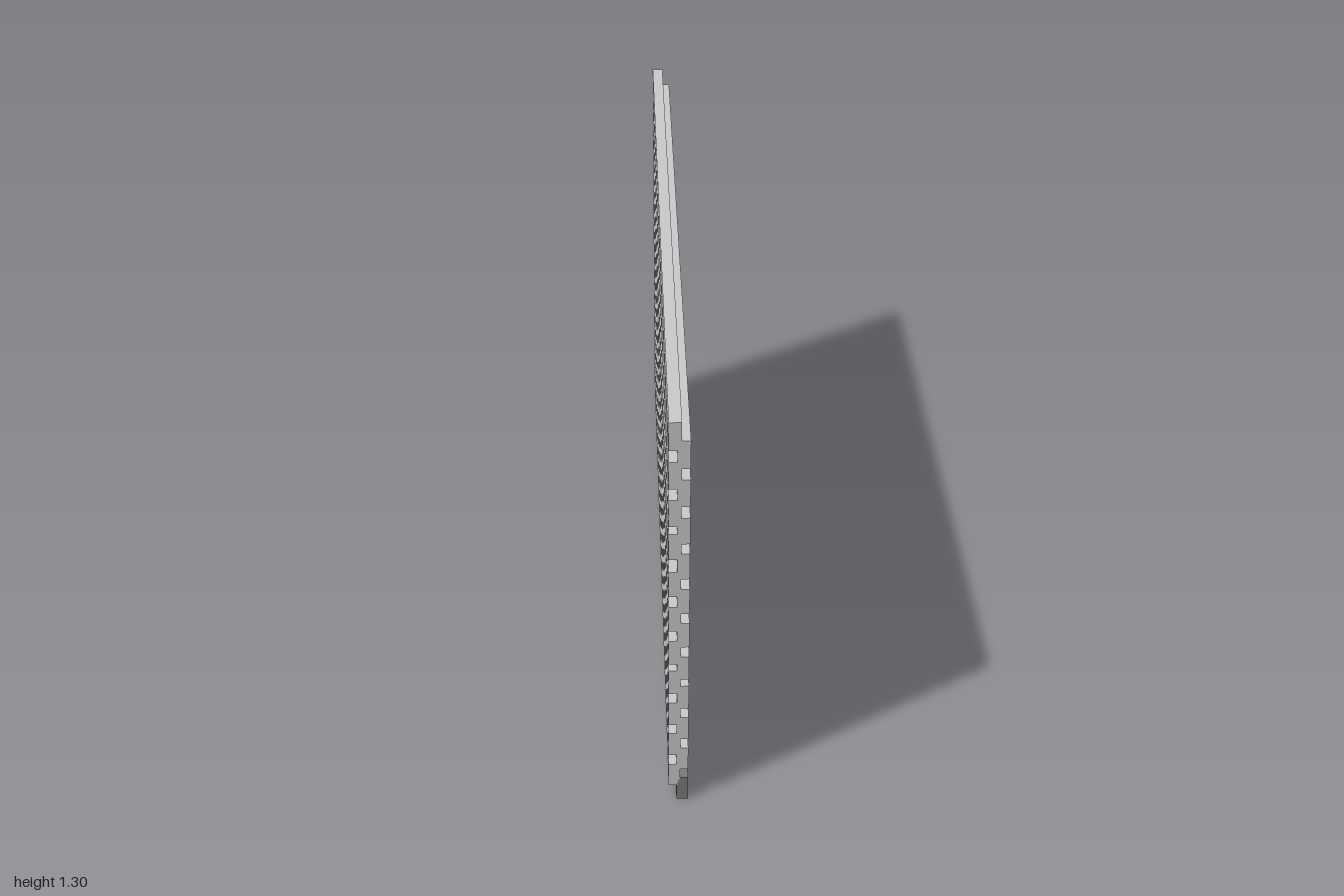
import * as THREE from 'three';

const LENGTH = 2;
const HEIGHT = 0.083;
const OUTER = 0.027; // outer face of each row
const INNER = 0.005; // how far each row reaches past the middle

// Top edges of the boards in each row, from top to bottom
const RIGHT_ROW = [1.3, 1.183, 1.066, 0.959, 0.836, 0.717, 0.6, 0.493, 0.376, 0.259, 0.139];
const LEFT_ROW = [1.246, 1.129, 1.01, 0.895, 0.778, 0.661, 0.544, 0.437, 0.32, 0.203, HEIGHT + 0.002];

export function createModel() {
  const wall = new THREE.Group();
  wall.name = 'boardWall';
  const grey = new THREE.MeshStandardMaterial({ color: 0xcccccc });
  const dark = new THREE.MeshStandardMaterial({ color: 0x7b7b7b });

  // One row of long boards on the given side (+1 left, -1 right)
  function addRow(name, tops, side) {
    const row = new THREE.Group();
    row.name = name;
    for (const top of tops) {
      const bottom = Math.max(0, top - HEIGHT);
      const isBase = bottom < 0.01;
      const low = isBase ? 0 : bottom;
      const board = new THREE.Mesh(
        new THREE.BoxGeometry(OUTER + INNER, top - low, LENGTH),
        isBase ? dark : grey
      );
      board.name = isBase ? 'baseBoard' : 'board';
      board.position.set(side * (OUTER - INNER) / 2, (top + low) / 2, 0);
      row.add(board);
    }
    wall.add(row);
  }

  addRow('rightBoards', RIGHT_ROW, -1);
  addRow('leftBoards', LEFT_ROW, 1);
  return wall;
}
